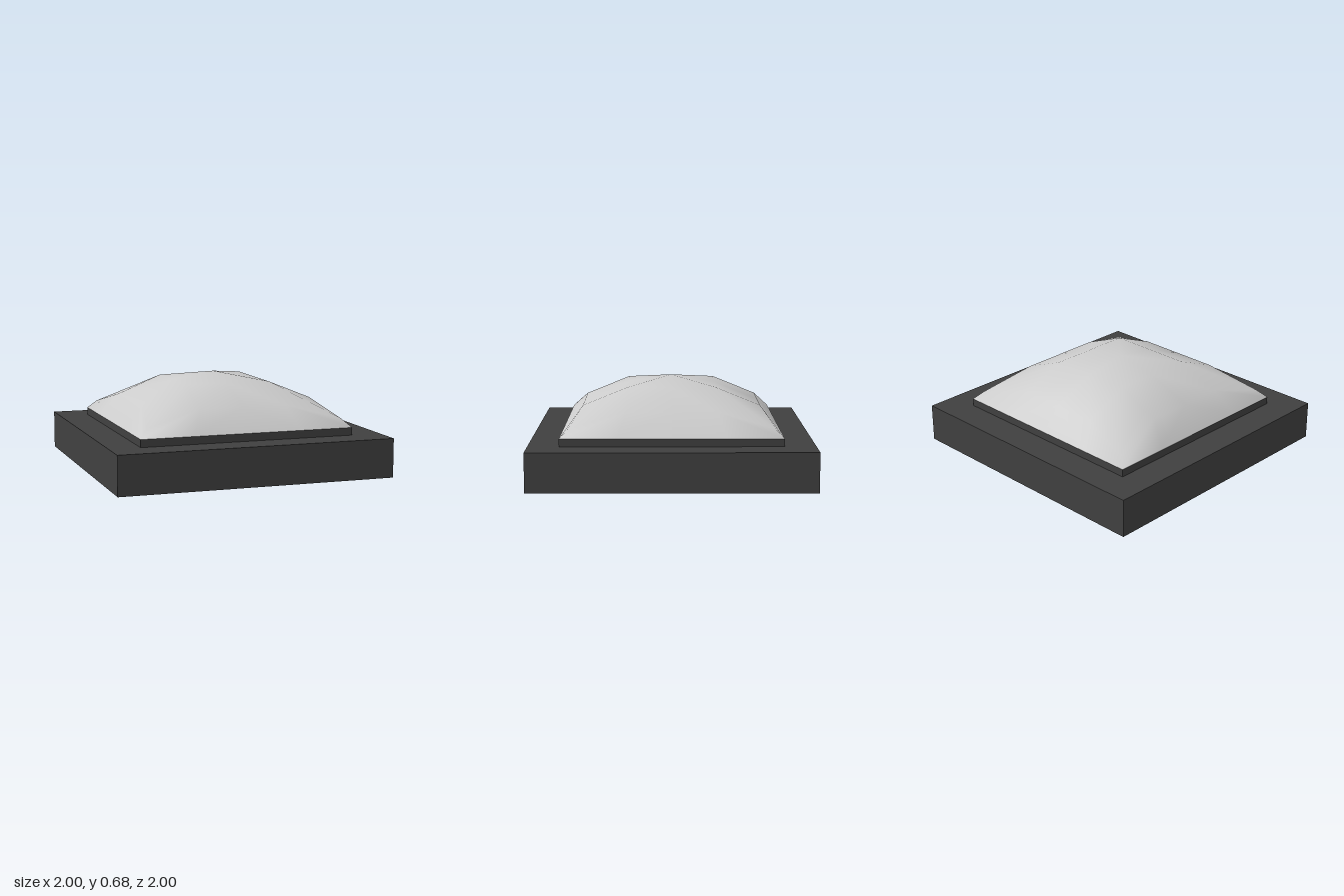
import * as THREE from 'three';
import { mergeVertices } from 'three/addons/utils/BufferGeometryUtils.js';

// Grid point of the cushion dome; i and j run from -3 to 3, with 3 on the rim
function domePoint(i, j) {
  const a = Math.max(Math.abs(i), Math.abs(j));
  const b = Math.min(Math.abs(i), Math.abs(j));
  const clamp = (v) => Math.max(-2, Math.min(2, v));
  if (a === 3) return [clamp(i) * 0.39, 0.335, clamp(j) * 0.39];
  if (b === 2) return [Math.sign(i) * 0.72, 0.395, Math.sign(j) * 0.72];
  return [i * 0.32, [0.684, 0.63, 0.5][a], j * 0.32];
}

function domeGeometry() {
  const positions = [];
  const index = [];
  for (let j = -3; j <= 3; j++) {
    for (let i = -3; i <= 3; i++) positions.push(...domePoint(i, j));
  }
  for (let j = 0; j < 6; j++) {
    for (let i = 0; i < 6; i++) {
      const a = j * 7 + i, b = a + 1, c = a + 7, d = a + 8;
      // Diagonals run out from the centre in every quadrant
      if ((i < 3) === (j < 3)) index.push(a, c, d, a, d, b);
      else index.push(a, c, b, b, c, d);
    }
  }
  let geometry = new THREE.BufferGeometry();
  geometry.setAttribute('position', new THREE.Float32BufferAttribute(positions, 3));
  geometry.setIndex(index);
  geometry = mergeVertices(geometry);
  geometry.computeVertexNormals();
  return geometry;
}

export function createModel() {
  const group = new THREE.Group();
  const dark = new THREE.MeshStandardMaterial({ color: 0x404040 });
  const pale = new THREE.MeshStandardMaterial({ color: 0xcccccc, side: THREE.DoubleSide });

  const add = (name, geometry, material, y = 0) => {
    const mesh = new THREE.Mesh(geometry, material);
    mesh.name = name;
    mesh.position.y = y;
    group.add(mesh);
  };

  // Square plinth, thin collar and the domed cap on top
  add('base', new THREE.BoxGeometry(2, 0.28, 2), dark, 0.14);
  add('collar', new THREE.BoxGeometry(1.56, 0.055, 1.56), dark, 0.3075);
  add('dome', domeGeometry(), pale);
  return group;
}
